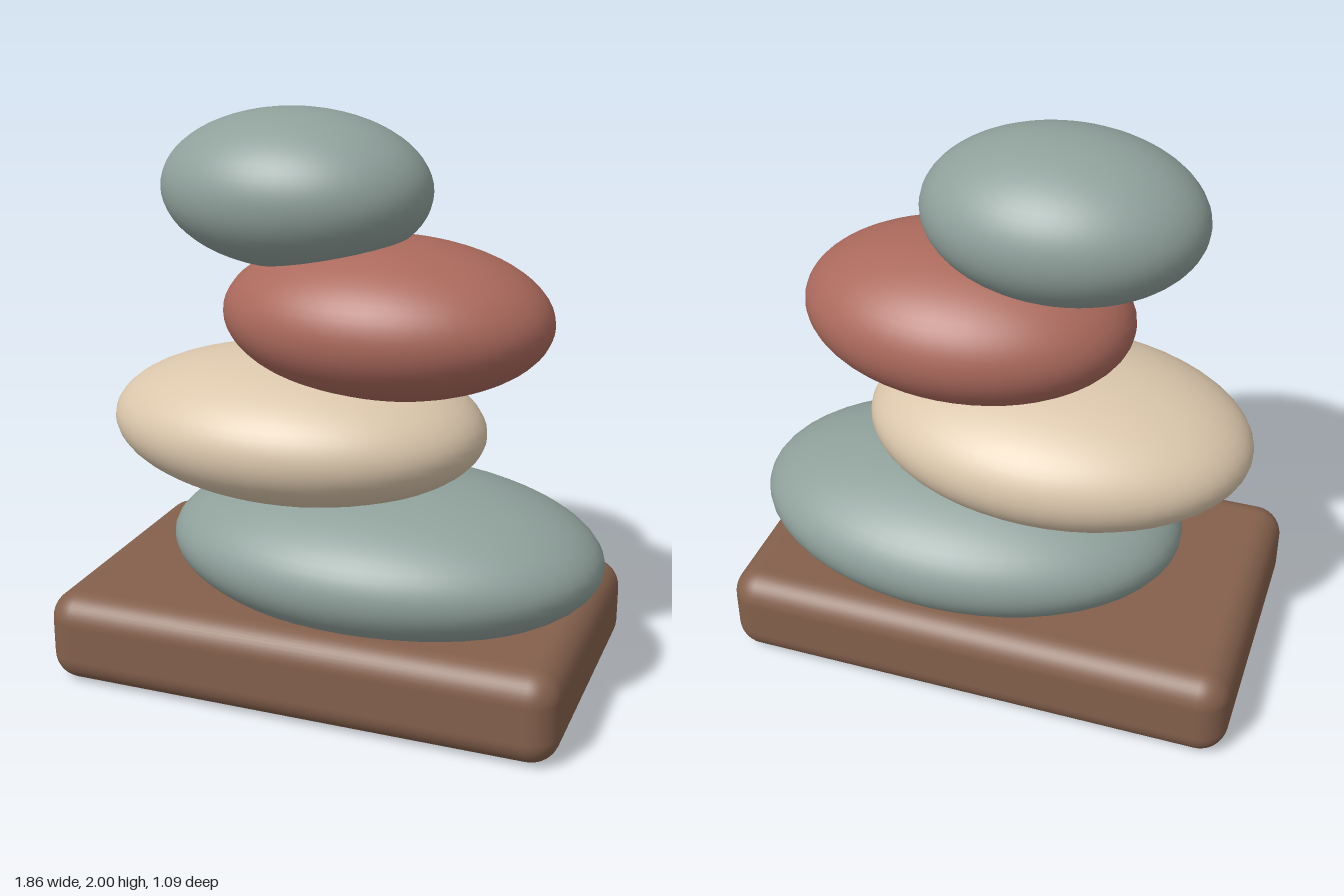
import * as THREE from 'three';
import { RoundedBoxGeometry } from 'three/addons/geometries/RoundedBoxGeometry.js';

const material = (name, color) => {
  const m = new THREE.MeshStandardMaterial({ color });
  m.name = name;
  return m;
};

export function createModel() {
  const group = new THREE.Group();
  group.name = 'stackedStones';

  const wood = material('brown wood', 0x84604c);
  const slate = material('grey green stone', 0x8fa09b);
  const sand = material('sand stone', 0xdac6ab);
  const clay = material('red clay stone', 0xab695c);

  // Rounded plinth
  const base = new THREE.Mesh(new RoundedBoxGeometry(1.84, 0.33, 1.088, 5, 0.1), wood);
  base.name = 'base';
  base.position.set(-0.015, 0.165, 0);
  group.add(base);

  // Smooth pebbles, slightly sunk into one another: name, material, centre x and y, radii
  const stones = [
    ['bottomStone', slate, 0.147, 0.48, 0.782, 0.273, 0.53],
    ['lowerStone', sand, -0.18, 0.9, 0.68, 0.264, 0.475],
    ['upperStone', clay, 0.147, 1.315, 0.577, 0.272, 0.42],
    ['topStone', slate, -0.18, 1.73, 0.475, 0.27, 0.367],
  ];
  for (const [name, mat, x, y, rx, ry, rz] of stones) {
    const stone = new THREE.Mesh(new THREE.SphereGeometry(1, 48, 32).scale(rx, ry, rz), mat);
    stone.name = name;
    stone.position.set(x, y, 0);
    group.add(stone);
  }
  return group;
}
